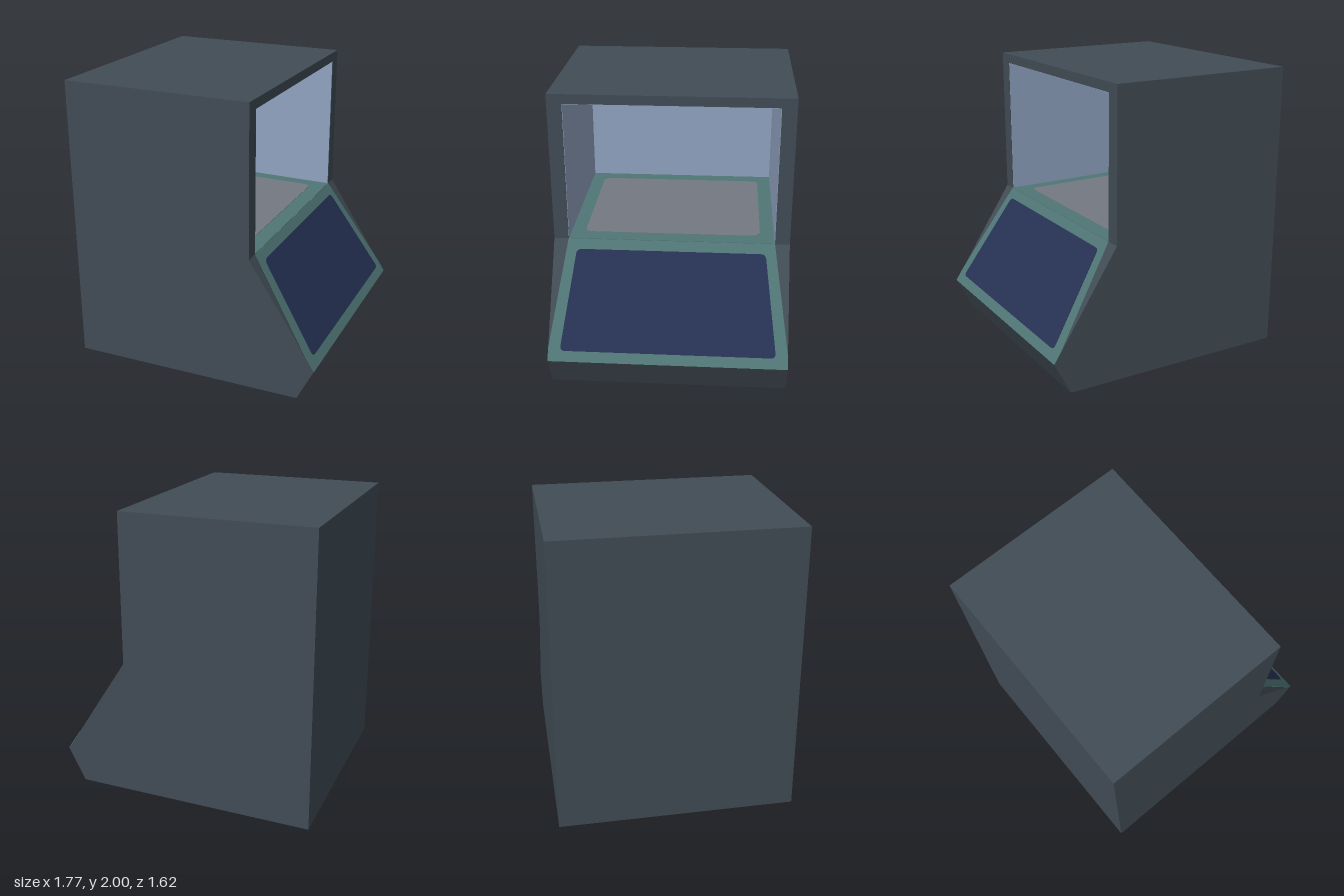
import * as THREE from 'three';

const mat = (name, color, side = THREE.FrontSide) => {
  const m = new THREE.MeshStandardMaterial({ color, side });
  m.name = name;
  return m;
};

// Polygon shape with rounded corners (r = 0 keeps them sharp)
function polygon(points, r = 0) {
  const shape = new THREE.Shape();
  if (!r) return shape.setFromPoints(points.map(([x, y]) => new THREE.Vector2(x, y)));
  const p = points.map(([x, y]) => new THREE.Vector2(x, y));
  p.forEach((c, i) => {
    const toward = (q) => q.clone().sub(c).setLength(r).add(c);
    const a = toward(p[(i + p.length - 1) % p.length]);
    const b = toward(p[(i + 1) % p.length]);
    if (i === 0) shape.moveTo(a.x, a.y);
    else shape.lineTo(a.x, a.y);
    shape.quadraticCurveTo(c.x, c.y, b.x, b.y);
  });
  shape.closePath();
  return shape;
}

const extrude = (shape, depth) =>
  new THREE.ExtrudeGeometry(shape, { depth, bevelEnabled: false, curveSegments: 6 });

export function createModel() {
  const model = new THREE.Group();
  model.name = 'cabinet';

  const hull = mat('slate shell', 0x414c55);
  const lining = mat('pale blue lining', 0x90a3c1);
  const teal = mat('teal trim', 0x507575);
  const navy = mat('navy panel', 0x263254);
  const grey = mat('grey shelf pad', 0x737982);
  const yellow = mat('yellow lamp', 0xc4af33);

  const add = (name, geometry, material, x = 0, y = 0, z = 0) => {
    const mesh = new THREE.Mesh(geometry, material);
    mesh.name = name;
    mesh.position.set(x, y, z);
    model.add(mesh);
    return mesh;
  };
  const box = (name, material, [x0, x1], [y0, y1], [z0, z1]) =>
    add(name, new THREE.BoxGeometry(x1 - x0, y1 - y0, z1 - z0), material,
      (x0 + x1) / 2, (y0 + y1) / 2, (z0 + z1) / 2);

  const back = -0.885, face = 0.425, nose = 0.885;
  const half = 0.81, inner = 0.71;
  const shelfY = 0.97, noseY = 0.265, ceilingY = 1.935, innerBack = -0.79;
  const base = [[back, 0], [0.77, 0.035], [nose, noseY], [face, shelfY]];

  // Shell: two full-height sides, a solid base, roof and back
  const sideShape = polygon([...base, [face, 2], [back, 2]]);
  for (const s of [1, -1]) {
    add(s > 0 ? 'leftSide' : 'rightSide', extrude(sideShape, half - inner), hull,
      0, 0, s > 0 ? inner : -half);
  }
  add('base', extrude(polygon([...base, [back, shelfY]]), 2 * inner), hull, 0, 0, -inner);
  box('roof', hull, [back, face], [ceilingY, 2], [-inner, inner]);
  box('backWall', hull, [back, innerBack], [shelfY, ceilingY], [-inner, inner]);

  // Pale lining of the recess
  const t = 0.003;
  box('backLining', lining, [innerBack, innerBack + t], [shelfY, ceilingY], [-inner, inner]);
  box('ceilingLining', lining, [innerBack, face - t], [ceilingY - t, ceilingY], [-inner, inner]);
  for (const s of [1, -1]) {
    const z = [s * inner, s * (inner - t)].sort((a, b) => a - b);
    box('sideLining', lining, [innerBack, face - t], [shelfY, ceilingY], z);
  }

  // Shelf in the recess with its rounded pad
  box('shelf', teal, [innerBack, face], [shelfY, shelfY + t], [-inner, inner]);
  const padX0 = innerBack + 0.11, padX1 = 0.315, padZ = 0.61;
  const pad = add('shelfPad', extrude(polygon(
    [[padX0, -padZ], [padX1, -padZ], [padX1, padZ], [padX0, padZ]], 0.06), t), grey, 0, shelfY + t, 0);
  pad.rotation.x = -Math.PI / 2;

  // Sloping front: x runs across, y runs up the slope, z points out
  const slope = new THREE.Group();
  slope.name = 'slopingFront';
  const up = new THREE.Vector3(face - nose, shelfY - noseY, 0);
  const length = up.length();
  up.normalize();
  const across = new THREE.Vector3(0, 0, -1);
  slope.quaternion.setFromRotationMatrix(
    new THREE.Matrix4().makeBasis(across, up, across.clone().cross(up)));
  slope.position.set(nose, noseY, 0);
  model.add(slope);
  const plate = (name, shape, material, z) => {
    const mesh = new THREE.Mesh(extrude(shape, t), material);
    mesh.name = name;
    mesh.position.z = z;
    slope.add(mesh);
  };
  plate('slopeTrim', polygon(
    [[-half, 0], [half, 0], [half, 0.09], [inner, length], [-inner, length], [-half, 0.09]]), teal, 0);
  plate('slopePanel', polygon(
    [[-0.73, 0.072], [0.73, 0.072], [0.648, 0.77], [-0.648, 0.77]], 0.035), navy, t);

  // Ceiling lamp: dark housing with a yellow face underneath
  box('lampHousing', hull, [-0.37, 0.03], [1.9, ceilingY], [-0.285, 0.285]);
  box('lampFace', yellow, [-0.35, 0.01], [1.897, 1.9], [-0.265, 0.265]);

  return model;
}
